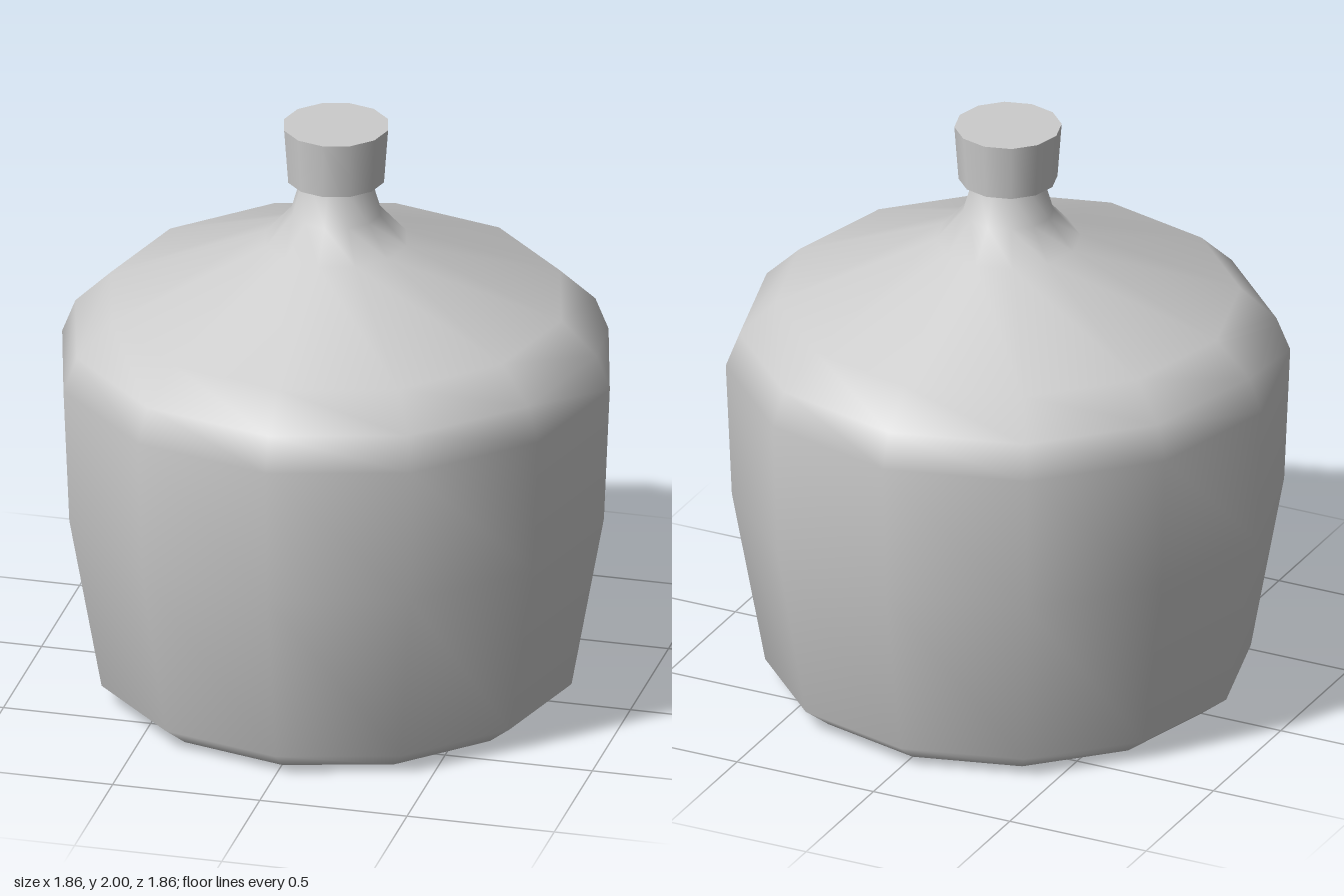
import * as THREE from 'three';

const SIDES = 12;

export function createModel() {
  const model = new THREE.Group();
  model.name = 'stopperedJug';
  const material = new THREE.MeshStandardMaterial({ color: 0xcccccc });

  // Revolves a [radius, height] profile, listed from bottom to top
  function addTurned(name, profile) {
    const points = profile.map(([r, y]) => new THREE.Vector2(r, y));
    const mesh = new THREE.Mesh(new THREE.LatheGeometry(points, SIDES), material);
    mesh.name = name;
    model.add(mesh);
  }

  // Separate pieces keep the rims sharp while each wall stays smooth
  addTurned('base', [[0, 0], [0.71, 0]]);
  addTurned('body', [
    [0.71, 0], [0.8, 0.07], [0.91, 0.68], [0.93, 1.15], [0.885, 1.265],
    [0.765, 1.38], [0.24, 1.59], [0.15, 1.69], [0.115, 1.81],
  ]);
  addTurned('stopperUnderside', [[0, 1.8], [0.125, 1.8], [0.163, 1.81]]);
  addTurned('stopperSide', [[0.163, 1.81], [0.177, 2]]);
  addTurned('stopperTop', [[0.177, 2], [0, 2]]);

  return model;
}
